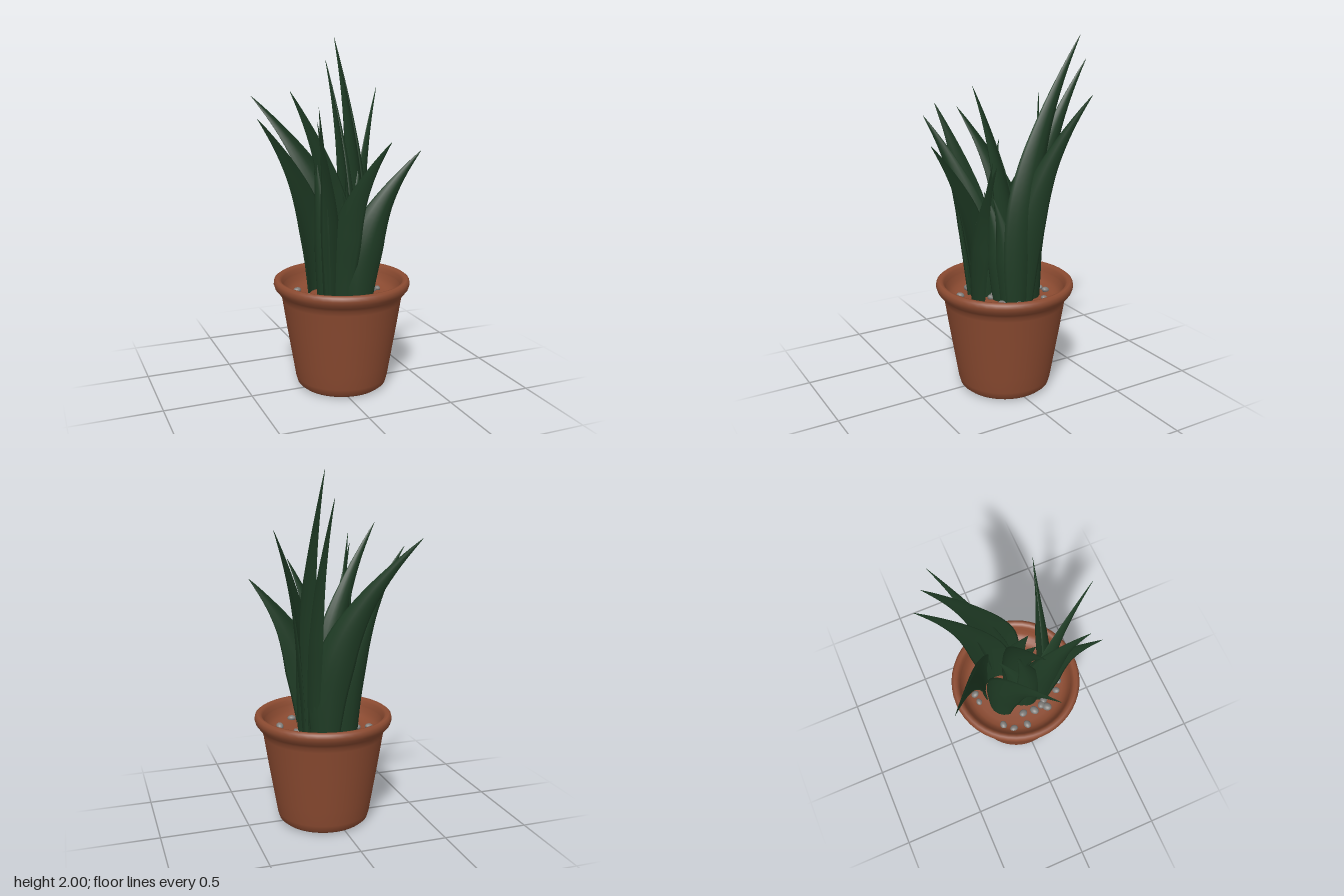
import * as THREE from 'three';

const CX = 0.053, CZ = -0.008, SOIL_Y = 0.53;
const clay = new THREE.MeshStandardMaterial({ color: 0x8c4b31 });
const green = new THREE.MeshStandardMaterial({ color: 0x1f3c25, side: THREE.DoubleSide });
const stone = new THREE.MeshStandardMaterial({ color: 0x7d7b78 });

const v = (x, y, z) => new THREE.Vector3(x, y, z);

function add(parent, name, geometry, material) {
  const mesh = new THREE.Mesh(geometry, material);
  mesh.name = name;
  parent.add(mesh);
  return mesh;
}

const lathe = (points) =>
  new THREE.LatheGeometry(points.map(([x, y]) => new THREE.Vector2(x, y)), 48);

// Sword-shaped blade: cupped lens sections swept from the soil to the tip,
// upright at first, then leaning edgewise towards a thin point
function leafGeometry([bx, bz, tx, ty, tz, width, twist]) {
  const base = v(bx, SOIL_Y - 0.03, bz), tip = v(tx, ty, tz);
  const between = (lean, rise) => v(
    bx + (tx - bx) * lean, base.y + (ty - base.y) * rise, bz + (tz - bz) * lean);
  const curve = new THREE.CubicBezierCurve3(base, between(0, 0.3), between(0.06, 0.59), tip);
  const lean = v(tx - bx, 0, tz - bz).normalize();
  const outward = v(bx - CX, 0, bz - CZ);
  const halfWidth = new THREE.SplineCurve([
    [0, 0.68], [0.2, 0.9], [0.42, 1], [0.58, 0.82], [0.73, 0.52], [0.87, 0.25], [0.96, 0.09], [1, 0.01],
  ].map(([a, b]) => new THREE.Vector2(a, b)));
  const rows = 32, sides = 14, pos = [], index = [];
  for (let i = 0; i <= rows; i++) {
    const profile = halfWidth.getPoint(i / rows), s = profile.x;
    const p = curve.getPoint(s), t = curve.getTangent(s);
    const w = lean.clone().addScaledVector(t, -lean.dot(t)).normalize();
    w.applyAxisAngle(t, twist * (1 - 0.6 * s));
    const n = t.clone().cross(w);
    const cupSide = n.dot(outward) > 0 ? 1 : -1;
    const h = width * Math.max(profile.y, 0.01);
    for (let j = 0; j < sides; j++) {
      const a = (j / sides) * Math.PI * 2, c = Math.cos(a);
      const cup = cupSide * h * 0.42 * (0.6 - c * c);
      const q = p.clone().addScaledVector(w, h * c).addScaledVector(n, h * 0.14 * Math.sin(a) + cup);
      pos.push(q.x, q.y, q.z);
      if (i < rows) {
        const k = i * sides, j2 = (j + 1) % sides;
        index.push(k + j, k + j2, k + sides + j2, k + j, k + sides + j2, k + sides + j);
      }
    }
  }
  const g = new THREE.BufferGeometry();
  g.setAttribute('position', new THREE.Float32BufferAttribute(pos, 3));
  g.setIndex(index);
  g.computeVertexNormals();
  return g;
}

export function createModel() {
  const model = new THREE.Group();
  model.name = 'pottedPlant';

  // Pot: outer wall and rolled rim
  add(model, 'pot', lathe([
    [0, 0.005], [0.2, 0.005], [0.238, 0.008], [0.258, 0.025], [0.268, 0.06], [0.283, 0.15], [0.318, 0.36],
    [0.343, 0.52], [0.35, 0.55], [0.366, 0.568], [0.385, 0.592], [0.392, 0.615], [0.388, 0.635],
    [0.375, 0.645], [0.358, 0.642], [0.346, 0.628], [0.337, 0.6],
  ]), clay).position.set(CX, 0, CZ);

  // Soil, curving up into the inside of the rim
  add(model, 'soil', lathe([
    [0.337, 0.6], [0.326, 0.572], [0.31, 0.55], [0.288, 0.537], [0.25, SOIL_Y], [0.15, SOIL_Y + 0.002], [0, SOIL_Y + 0.006],
  ]), clay).position.set(CX, 0, CZ);

  // Leaves in a swirl: base x, base z, tip x, tip y, tip z, half width, twist
  const leaves = new THREE.Group();
  leaves.name = 'leaves';
  model.add(leaves);
  [
    [0.175, -0.03, 0.17, 2.0, -0.41, 0.11, 0.1],
    [0.14, -0.1, 0.14, 1.87, -0.475, 0.105, -0.1],
    [0.1, -0.18, -0.33, 1.66, -0.475, 0.11, 0.1],
    [0.16, -0.05, 0.41, 1.71, -0.325, 0.095, 0.15],
    [0.075, 0.18, 0.412, 1.39, 0.252, 0.11, 0],
    [-0.02, 0.12, 0.125, 1.47, 0.472, 0.105, 0.2],
    [-0.04, 0.1, -0.23, 1.57, 0.345, 0.1, -0.15],
    [-0.07, 0.09, -0.2, 1.64, 0.29, 0.095, 0.2],
    [-0.05, -0.165, -0.445, 1.57, 0.025, 0.11, 0.1],
    [0.06, -0.05, -0.26, 1.71, 0.02, 0.095, -0.1],
    [-0.07, -0.01, -0.02, 1.24, -0.135, 0.085, 0.2],
    [-0.085, 0.03, -0.1, 1.42, -0.06, 0.08, -0.1],
    [0.1, 0.03, 0.01, 1.16, 0.1, 0.08, 0.2],
    [0.15, 0.02, 0.095, 1.14, 0.09, 0.075, -0.2],
  ].forEach((leaf) => add(leaves, 'leaf', leafGeometry(leaf), green));

  // Pebbles on the soil: x, z, radius
  const pebbles = new THREE.Group();
  pebbles.name = 'pebbles';
  model.add(pebbles);
  const pebbleGeometry = new THREE.SphereGeometry(1, 14, 10);
  [
    [-0.16, -0.18, 0.023], [-0.205, -0.13, 0.023], [-0.215, -0.045, 0.024], [-0.14, -0.04, 0.025],
    [-0.15, 0.03, 0.027], [-0.135, 0.085, 0.026], [-0.16, 0.11, 0.028], [-0.11, 0.11, 0.025],
    [-0.085, 0.205, 0.022], [-0.033, 0.245, 0.02], [0.06, 0.25, 0.02], [0.17, 0.245, 0.024],
    [0.275, 0.125, 0.024], [0.035, -0.26, 0.02], [0.09, -0.265, 0.023], [0.222, -0.24, 0.008],
    [0, -0.09, 0.021], [0.06, -0.12, 0.026], [0.025, 0.04, 0.03], [0.005, 0.12, 0.025],
    [0.21, -0.01, 0.024], [0.235, -0.035, 0.023], [0.26, -0.055, 0.021], [0.298, -0.043, 0.02],
    [0.265, -0.03, 0.019], [0.205, 0.02, 0.017], [0.15, 0.065, 0.024], [0.19, -0.19, 0.02],
    [0.07, -0.17, 0.024], [0.035, 0.07, 0.024],
  ].forEach(([x, z, r], i) => {
    const pebble = add(pebbles, 'pebble', pebbleGeometry, stone);
    pebble.position.set(x, SOIL_Y + r * 0.4, z);
    pebble.scale.set(r * 1.08, r * 0.72, r * 0.88);
    pebble.rotation.set(0.2 * Math.sin(i * 3), i * 1.7, 0.2 * Math.cos(i * 5));
  });

  return model;
}
